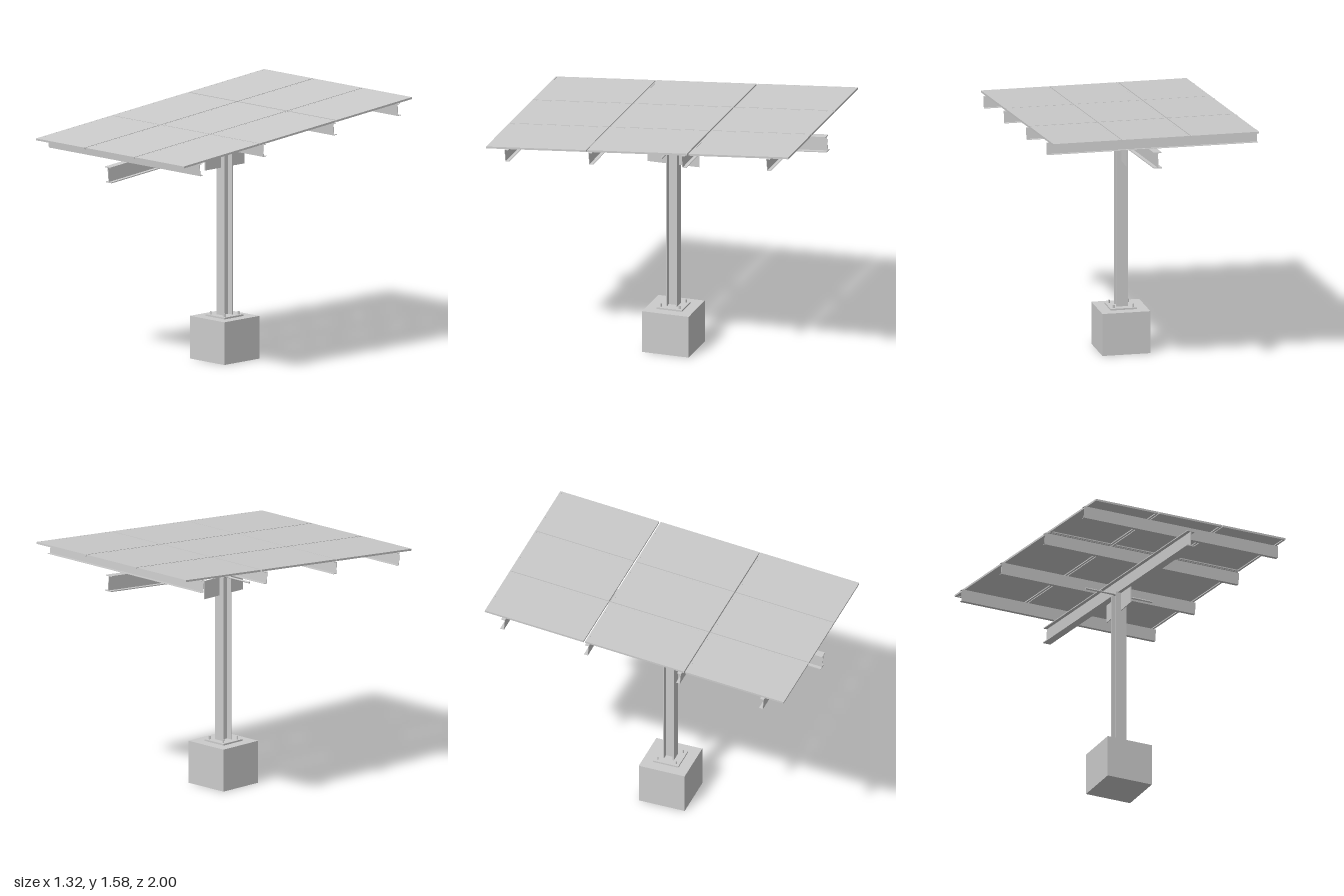
import * as THREE from 'three';

const grey = new THREE.MeshStandardMaterial({ color: 0xcccccc, flatShading: true });

function add(parent, name, geometry, x = 0, y = 0, z = 0) {
  const mesh = new THREE.Mesh(geometry, grey);
  mesh.name = name;
  mesh.position.set(x, y, z);
  parent.add(mesh);
  return mesh;
}

const box = (w, h, d) => new THREE.BoxGeometry(w, h, d);

const outline = points => new THREE.Shape(points.map(([x, y]) => new THREE.Vector2(x, y)));

// Prism along z, centred on its length
function prism(shape, length) {
  const g = new THREE.ExtrudeGeometry(shape, { depth: length, bevelEnabled: false });
  return g.translate(0, 0, -length / 2);
}

// I section: flanges at top and bottom, web on x = 0
function iSection(width, height, flange, web) {
  const w = width / 2, h = height / 2, t = web / 2, f = h - flange;
  return outline([[-w, -h], [w, -h], [w, -f], [t, -f], [t, f], [w, f],
    [w, h], [-w, h], [-w, f], [-t, f], [-t, -f], [-w, -f]]);
}

// C section: web at x = 0, flanges towards +x
function cSection(width, height, t) {
  const h = height / 2;
  return outline([[0, -h], [width, -h], [width, -h + t], [t, -h + t],
    [t, h - t], [width, h - t], [width, h], [0, h]]);
}

// Rectangular frame lying flat, standing on y = 0
function frameGeometry(w, d, border, height) {
  const rect = (a, b) => [[-a, -b], [a, -b], [a, b], [-a, b]];
  const shape = outline(rect(w / 2, d / 2));
  shape.holes.push(outline(rect(w / 2 - border, d / 2 - border)));
  return prism(shape, height).rotateX(-Math.PI / 2).translate(0, height / 2, 0);
}

export function createModel() {
  const model = new THREE.Group();
  model.name = 'solarPanelStand';

  // Foundation, base plate and anchor bolts
  add(model, 'foundation', box(0.3, 0.265, 0.3), 0, 0.1325, 0);
  add(model, 'basePlate', box(0.165, 0.01, 0.165), 0, 0.27, 0);
  for (const x of [-0.06, 0.06]) {
    for (const z of [-0.06, 0.06]) {
      add(model, 'anchorBolt', new THREE.CylinderGeometry(0.005, 0.005, 0.03, 12), x, 0.28, z);
    }
  }

  // Column with its flanges facing front and back
  const column = prism(iSection(0.072, 0.07, 0.007, 0.006), 1.035).rotateX(-Math.PI / 2);
  add(model, 'column', column, 0, 0.7925, 0);

  // Gusset plate and cross rod at the column head
  add(model, 'gussetPlate', box(0.005, 0.115, 0.335), 0, 1.2475, 0);
  const rod = new THREE.CylinderGeometry(0.006, 0.006, 0.45, 12).rotateZ(Math.PI / 2);
  add(model, 'crossRod', rod, 0, 1.306, 0);

  // Everything above the column is tilted, low at the front
  const deck = new THREE.Group();
  deck.name = 'tiltedDeck';
  deck.position.y = 1.36;
  deck.rotation.x = THREE.MathUtils.degToRad(5);
  model.add(deck);

  add(deck, 'mainBeam', prism(iSection(0.05, 0.1, 0.006, 0.005), 1.998));

  // Cross purlins, open towards the back
  const purlin = prism(cSection(0.025, 0.075, 0.003), 1.318).rotateY(Math.PI / 2);
  for (const z of [0.855, 0.311, -0.293, -0.843]) add(deck, 'purlin', purlin, 0, 0.0875, z);

  // Three by three framed panels
  const frame = frameGeometry(0.425, 0.648, 0.012, 0.012);
  const pane = box(0.402, 0.005, 0.625);
  for (const x of [-0.428, 0.0035, 0.4345]) {
    for (const z of [0.653, -0.001, -0.659]) {
      const panel = new THREE.Group();
      panel.name = 'panel';
      panel.position.set(x, 0.125, z);
      add(panel, 'panelFrame', frame);
      add(panel, 'panelPane', pane, 0, 0.0093, 0);
      deck.add(panel);
    }
  }
  return model;
}
